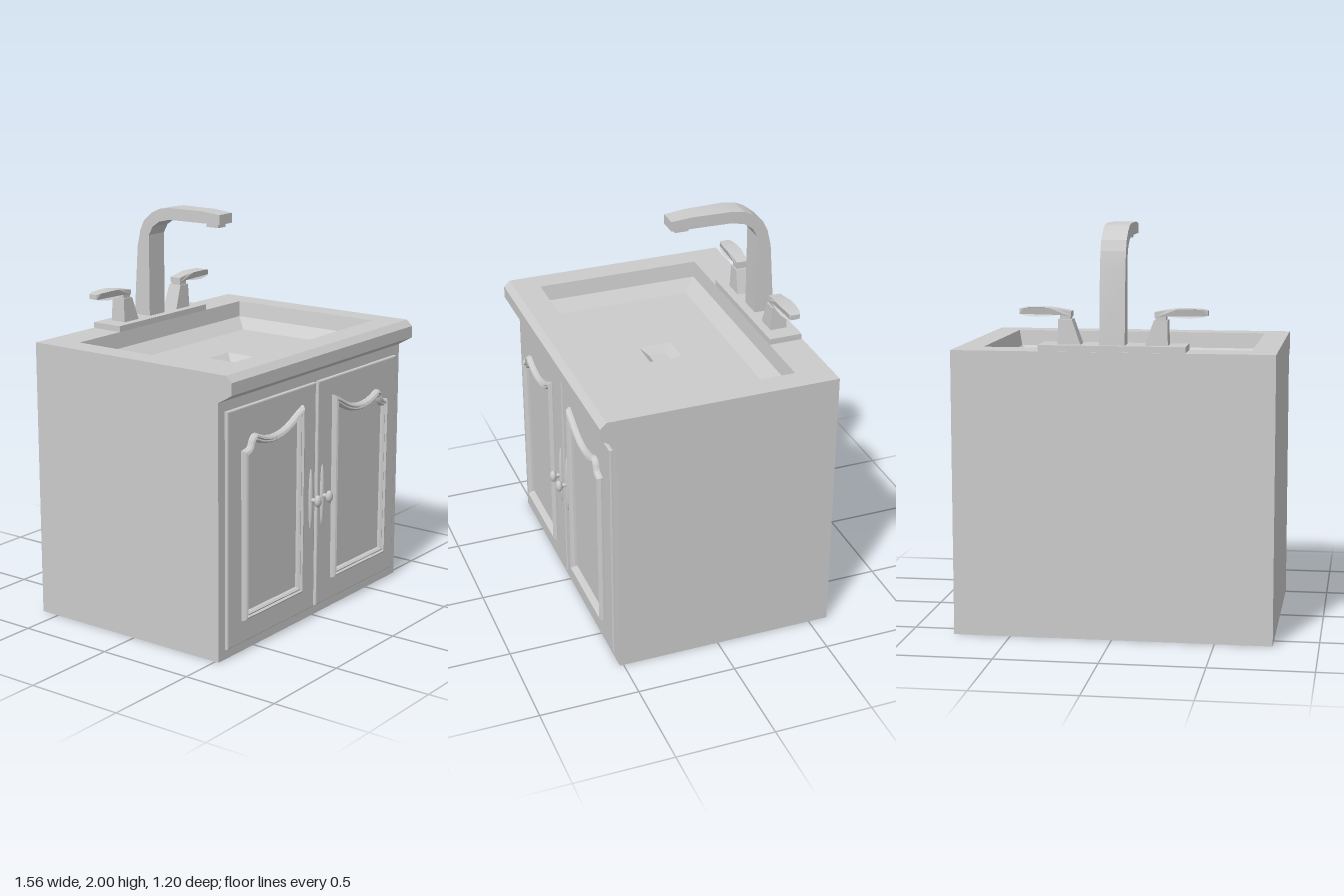
import * as THREE from 'three';
import { toCreasedNormals } from 'three/addons/utils/BufferGeometryUtils.js';

const grey = new THREE.MeshStandardMaterial({ color: 0xcccccc });

function part(name, geometry, parent) {
  const mesh = new THREE.Mesh(geometry, grey);
  mesh.name = name;
  parent.add(mesh);
  return mesh;
}

// Skin a list of closed rings; either cap both ends or join the last ring to the first.
function skin(rings, capped, crease) {
  const n = rings[0].length, m = rings.length, index = [];
  for (let i = 0; i < (capped ? m - 1 : m); i++) {
    for (let j = 0; j < n; j++) {
      const k = (j + 1) % n, up = (i + 1) % m;
      const a = i * n + j, b = i * n + k, c = up * n + k, d = up * n + j;
      index.push(a, b, c, a, c, d);
    }
  }
  if (capped) {
    const t = (m - 1) * n;
    for (let j = 1; j < n - 1; j++) index.push(0, j + 1, j, t, t + j, t + j + 1);
  }
  const g = new THREE.BufferGeometry();
  g.setAttribute('position', new THREE.Float32BufferAttribute(rings.flat(2), 3));
  g.setIndex(index);
  return toCreasedNormals(g, crease);
}

// Stack of horizontal rectangles, each [x0, x1, y, z0, z1]
function rectStack(rects) {
  return skin(rects.map(([x0, x1, y, z0, z1]) =>
    [[x0, y, z1], [x1, y, z1], [x1, y, z0], [x0, y, z0]]), true, 0.02);
}

// Sweep an (offset, height) profile round a closed counter-clockwise outline, with mitred corners
function moulding(outline, profile) {
  const n = outline.length;
  const rows = profile.map(([o, h]) => outline.map((p, i) => {
    const a = p.clone().sub(outline[(i + n - 1) % n]).normalize();
    const b = outline[(i + 1) % n].clone().sub(p).normalize();
    const na = new THREE.Vector2(a.y, -a.x), nb = new THREE.Vector2(b.y, -b.x);
    const mitre = na.clone().add(nb).divideScalar(1 + na.dot(nb));
    return [p.x + mitre.x * o, p.y + mitre.y * o, h];
  }));
  return skin(rows, false, 0.5);
}

// Extrude a side outline to unit thickness, then set the half width by a rule along its first axis
function taperedExtrude(points, halfWidth) {
  const shape = new THREE.Shape(points.map(p => new THREE.Vector2(...p)));
  const g = new THREE.ExtrudeGeometry(shape, { depth: 2, bevelEnabled: false });
  g.translate(0, 0, -1);
  const p = g.attributes.position;
  for (let i = 0; i < p.count; i++) p.setZ(i, p.getZ(i) * halfWidth(p.getX(i)));
  return toCreasedNormals(g, 0.2);
}

function makeDoor() {
  const door = new THREE.Group();
  const b = 0.006;
  const rect = new THREE.Shape([[0.01 + b, 0.05 + b], [0.73 - b, 0.05 + b], [0.73 - b, 1.215 - b], [0.01 + b, 1.215 - b]]
    .map(p => new THREE.Vector2(...p)));
  const leaf = new THREE.ExtrudeGeometry(rect, { depth: 0.01, bevelThickness: b, bevelSize: b, bevelSegments: 2 });
  leaf.translate(0, 0, 0.52);
  part('doorLeaf', leaf, door);

  // Arched panel moulding
  const path = new THREE.Path();
  path.moveTo(0.155, 0.185);
  path.lineTo(0.60, 0.185);
  path.lineTo(0.605, 0.99);
  path.quadraticCurveTo(0.56, 0.995, 0.553, 1.03);
  path.quadraticCurveTo(0.545, 1.055, 0.525, 1.053);
  path.quadraticCurveTo(0.36, 0.97, 0.185, 1.08);
  path.lineTo(0.152, 1.095);
  const outline = path.getPoints(8);
  const frame = moulding(outline, [[0.02, 0], [0.02, 0.013], [0.012, 0.026], [0.004, 0.03],
    [-0.002, 0.02], [-0.009, 0.023], [-0.017, 0.014], [-0.02, 0]]);
  frame.translate(0, 0, 0.534);
  part('panelMoulding', frame, door);

  // Knob on a slim backplate
  const plate = part('knobBackplate', new THREE.SphereGeometry(1, 16, 12), door);
  plate.scale.set(0.016, 0.16, 0.014);
  plate.position.set(0.05, 0.625, 0.537);
  const stem = part('knobStem', new THREE.CylinderGeometry(0.01, 0.012, 0.04, 12), door);
  stem.rotation.x = Math.PI / 2;
  stem.position.set(0.05, 0.625, 0.555);
  const knob = part('knob', new THREE.SphereGeometry(1, 20, 14), door);
  knob.scale.set(0.022, 0.031, 0.017);
  knob.position.set(0.05, 0.625, 0.582);
  return door;
}

function makeHandle() {
  const handle = new THREE.Group();
  part('handleBase', rectStack([
    [0.155, 0.265, 1.43, -0.553, -0.467],
    [0.197, 0.262, 1.55, -0.547, -0.473]]), handle);
  part('handleNeck', rectStack([
    [0.205, 0.255, 1.55, -0.54, -0.48],
    [0.205, 0.255, 1.575, -0.54, -0.48]]), handle);
  const lever = taperedExtrude([
    [0.2, 1.562], [0.26, 1.57], [0.31, 1.563], [0.37, 1.56], [0.43, 1.566], [0.453, 1.572],
    [0.453, 1.597], [0.43, 1.602], [0.37, 1.604], [0.31, 1.604], [0.26, 1.598], [0.2, 1.588]],
    x => x < 0.28 ? 0.032 : x < 0.4 ? 0.038 : x < 0.44 ? 0.032 : 0.023);
  lever.translate(0, 0, -0.51);
  part('handleLever', lever, handle);
  return handle;
}

export function createModel() {
  const model = new THREE.Group();
  model.name = 'bathroomVanity';

  // Cabinet, overhanging counter edge, sunken basin and drain as one continuous skin
  part('cabinetAndBasin', rectStack([
    [-0.78, 0.78, 0, -0.6, 0.52],
    [-0.78, 0.78, 1.265, -0.6, 0.52],
    [-0.78, 0.78, 1.31, -0.6, 0.597],
    [-0.78, 0.78, 1.37, -0.6, 0.597],
    [-0.78, 0.78, 1.4, -0.6, 0.565],
    [-0.655, 0.655, 1.4, -0.425, 0.435],
    [-0.64, 0.64, 1.32, -0.415, 0.425],
    [-0.58, 0.58, 1.265, -0.345, 0.37],
    [-0.08, 0.08, 1.265, -0.07, 0.098],
    [-0.045, 0.045, 1.23, -0.03, 0.058]]), model);

  // Faucet
  const faucet = new THREE.Group();
  faucet.name = 'faucet';
  model.add(faucet);
  part('faucetPlate', rectStack([
    [-0.353, 0.353, 1.4, -0.595, -0.425],
    [-0.353, 0.353, 1.43, -0.595, -0.425]]), faucet);
  const spout = taperedExtrude([
    [-0.57, 1.43], [-0.47, 1.43], [-0.47, 1.85], [-0.445, 1.895], [-0.4, 1.925], [-0.335, 1.94],
    [-0.025, 1.94], [-0.025, 1.99], [-0.13, 2], [-0.34, 2], [-0.4, 1.99], [-0.45, 1.966],
    [-0.5, 1.925], [-0.525, 1.875], [-0.545, 1.79]],
    z => 0.061 - 0.011 * THREE.MathUtils.clamp((z + 0.34) / 0.3, 0, 1));
  spout.rotateY(-Math.PI / 2);
  part('spout', spout, faucet);
  part('spoutOutlet', rectStack([
    [-0.03, 0.03, 1.92, -0.122, -0.05],
    [-0.03, 0.03, 1.945, -0.122, -0.05]]), faucet);

  // Mirrored doors and tap handles
  for (const [side, s] of [['left', 1], ['right', -1]]) {
    const door = makeDoor(), handle = makeHandle();
    door.name = side + 'Door';
    handle.name = side + 'Handle';
    door.scale.x = handle.scale.x = s;
    model.add(door);
    faucet.add(handle);
  }
  return model;
}
